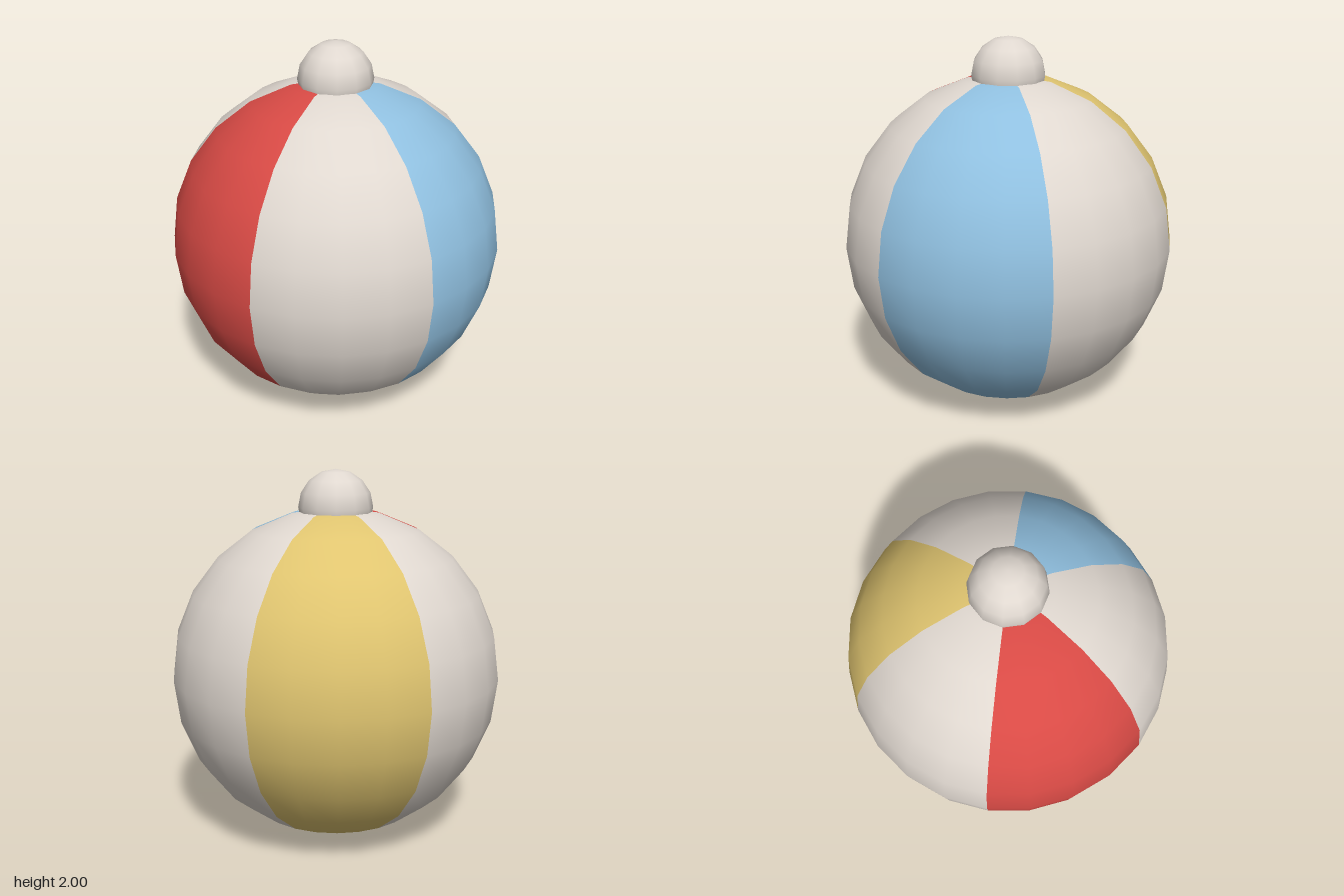
import * as THREE from 'three';

export function createModel() {
  const model = new THREE.Group();
  model.name = 'beachBall';

  const paint = (name, color) => {
    const m = new THREE.MeshStandardMaterial({ color });
    m.name = name;
    return m;
  };
  const white = paint('warmWhite', 0xe0d8d0);
  const red = paint('red', 0xd84a45);
  const blue = paint('skyBlue', 0x90c0e0);
  const yellow = paint('yellow', 0xe0c570);

  // Ball: six 60 degree gores, starting at -x and running past the front
  const ball = new THREE.Group();
  ball.name = 'ball';
  ball.position.y = 0.9;
  ball.scale.set(0.895, 0.9, 0.895);
  const gore = Math.PI / 3;
  [red, white, blue, white, yellow, white].forEach((material, i) => {
    const panel = new THREE.Mesh(
      new THREE.SphereGeometry(1, 4, 12, i * gore, gore), material);
    panel.name = `panel${i + 1}`;
    ball.add(panel);
  });
  model.add(ball);

  // Round knob, half sunk into the top of the ball
  const knob = new THREE.Mesh(new THREE.SphereGeometry(0.2, 12, 8), white);
  knob.name = 'topKnob';
  knob.position.y = 1.8;
  model.add(knob);

  return model;
}
